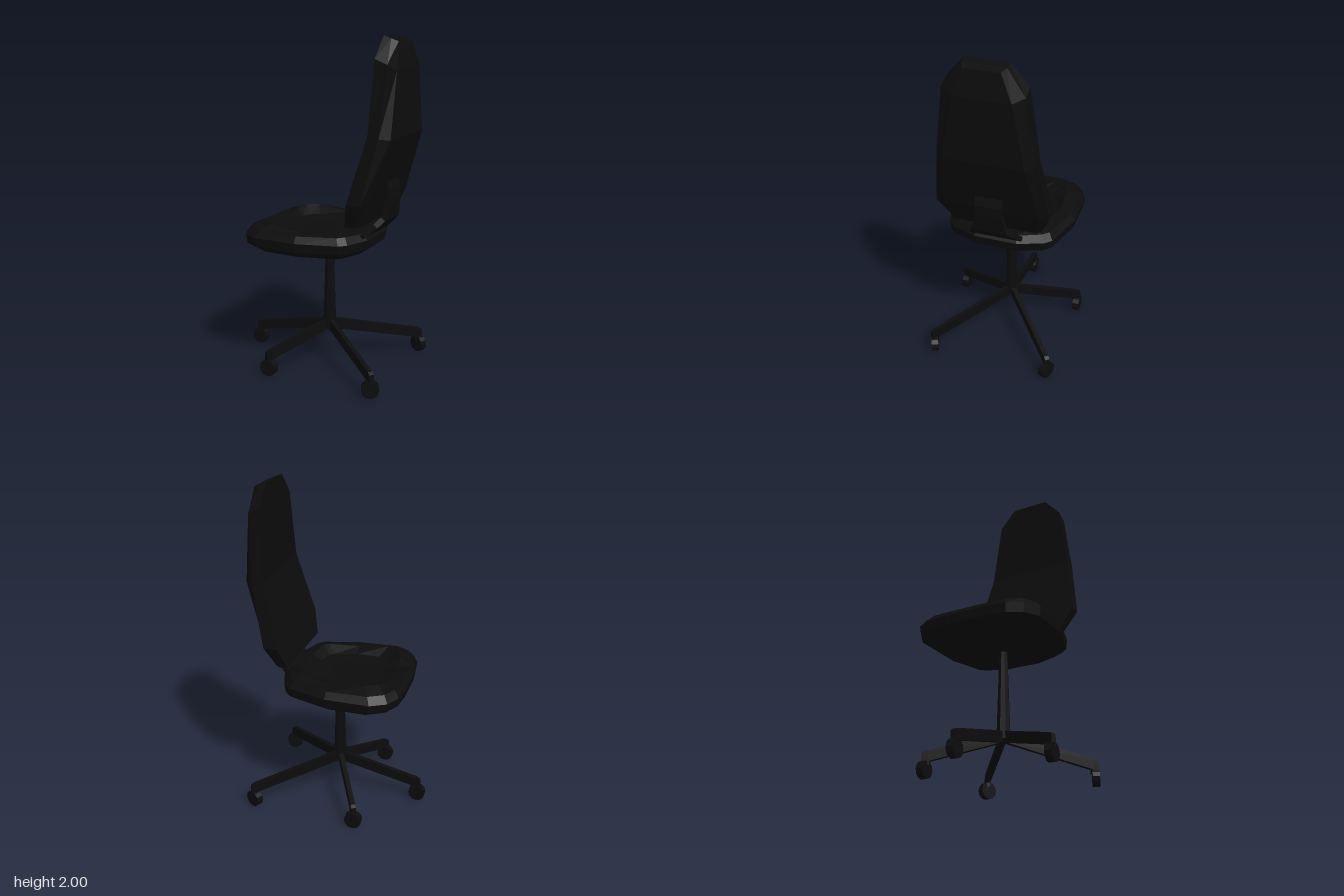
import * as THREE from 'three';

const material = new THREE.MeshStandardMaterial({ color: 0x0c0c0c, flatShading: true });

// Closed skin through equal-length rings stacked upward, with fan caps
function loft(rings) {
  const n = rings[0].length, pos = rings.flat(2), idx = [];
  for (let r = 0; r < rings.length - 1; r++) {
    for (let i = 0; i < n; i++) {
      const j = (i + 1) % n, a = r * n, b = a + n;
      idx.push(a + i, a + j, b + j, a + i, b + j, b + i);
    }
  }
  const addCap = (ring, start, up) => {
    const c = pos.length / 3;
    for (let k = 0; k < 3; k++) pos.push(ring.reduce((s, p) => s + p[k], 0) / n);
    for (let i = 0; i < n; i++) {
      const a = start + i, b = start + (i + 1) % n;
      idx.push(c, up ? a : b, up ? b : a);
    }
  };
  addCap(rings[0], 0, false);
  addCap(rings[rings.length - 1], (rings.length - 1) * n, true);
  const g = new THREE.BufferGeometry();
  g.setAttribute('position', new THREE.Float32BufferAttribute(pos, 3));
  g.setIndex(idx);
  g.computeVertexNormals();
  return g;
}

function add(parent, name, geometry) {
  const mesh = new THREE.Mesh(geometry, material);
  mesh.name = name;
  parent.add(mesh);
  return mesh;
}

// Mirror a half ring (z > 0) to a full one
const mirrorRing = half => [...half, ...half.map(([x, y, z]) => [x, y, -z]).reverse()];

function seatGeometry() {
  // Plan outline: x, z, height of the padded ridge
  const outline = [
    [-0.42, 0.13, 0.875], [-0.405, 0.25, 0.9], [-0.36, 0.34, 0.915], [-0.265, 0.393, 0.912],
    [0, 0.393, 0.885], [0.245, 0.32, 0.9], [0.285, 0.28, 0.905], [0.34, 0.13, 0.88],
  ];
  const cx = -0.04;
  const ring = (s, y, blend) => mirrorRing(outline.map(([x, z, ridge]) =>
    [cx + (x - cx) * s, y + (ridge - y) * blend, z * s]));
  return loft([
    ring(0.84, 0.75, 0), ring(0.98, 0.79, 0), ring(1, 0.845, 0), ring(0.92, 0.88, 0.2),
    ring(0.74, 0.9, 1), ring(0.56, 0.858, 0.1), ring(0.3, 0.852, 0),
  ]);
}

function backrestGeometry() {
  // y, front x, edge x, rear x, half width, rear half width, rear y
  const sections = [
    [0.95, 0.265, 0.315, 0.345, 0.275, 0.25, 0.95],
    [1.09, 0.3, 0.385, 0.4, 0.335, 0.28, 1.09],
    [1.47, 0.4, 0.465, 0.515, 0.28, 0.23, 1.45],
    [1.88, 0.412, 0.485, 0.515, 0.225, 0.16, 1.82],
    [2.0, 0.415, 0.46, 0.495, 0.12, 0.1, 1.97],
  ];
  return loft(sections.map(([y, f, m, r, w, rw, ry]) =>
    mirrorRing([[f, y, w], [m, (y + ry) / 2, w], [r, ry, rw]])));
}

function bracketGeometry() {
  // inner x, inner y, outer x, outer y, half width
  const sections = [
    [0.24, 0.845, 0.27, 0.82, 0.16], [0.315, 0.885, 0.335, 0.865, 0.155],
    [0.375, 0.945, 0.4, 0.925, 0.13], [0.41, 0.985, 0.435, 0.965, 0.1],
    [0.425, 1.09, 0.45, 1.08, 0.082], [0.425, 1.14, 0.45, 1.14, 0.08],
    [0.4, 1.18, 0.432, 1.195, 0.08],
  ];
  return loft(sections.map(([xi, yi, xo, yo, w]) => mirrorRing([[xi, yi, w], [xo, yo, w]])));
}

export function createModel() {
  const chair = new THREE.Group();
  chair.name = 'officeChair';
  const hubX = 0.025;

  add(chair, 'seat', seatGeometry());
  add(chair, 'backrest', backrestGeometry());
  add(chair, 'backBracket', bracketGeometry());

  // Tapered post
  const post = add(chair, 'post', new THREE.CylinderGeometry(0.025, 0.042, 0.54, 8));
  post.position.set(hubX, 0.49, 0);

  // Five sloping legs with casters: end x, end z, wheel heading
  const feet = [
    [-0.487, 0, 0], [-0.178, 0.395, 0], [-0.178, -0.395, 0],
    [0.478, 0.366, 0.44], [0.478, -0.366, -0.44],
  ];
  for (const [x, z, heading] of feet) {
    const length = Math.hypot(x - hubX, z) + 0.018;
    const profile = new THREE.Shape([
      [0, 0.205], [length - 0.045, 0.1], [length - 0.045, 0.075], [length, 0.075],
      [length, 0.145], [length - 0.02, 0.157], [0, 0.272],
    ].map(p => new THREE.Vector2(...p)));
    const legGeometry = new THREE.ExtrudeGeometry(profile, { depth: 0.028, bevelEnabled: false });
    legGeometry.translate(0, 0, -0.014);
    const leg = add(chair, 'leg', legGeometry);
    leg.position.x = hubX;
    leg.rotation.y = Math.atan2(-z, x - hubX);

    const wheel = add(chair, 'casterWheel',
      new THREE.CylinderGeometry(0.052, 0.052, 0.042, 12).rotateX(Math.PI / 2));
    wheel.position.set(x, 0.052, z);
    wheel.rotation.y = heading;
  }
  return chair;
}
